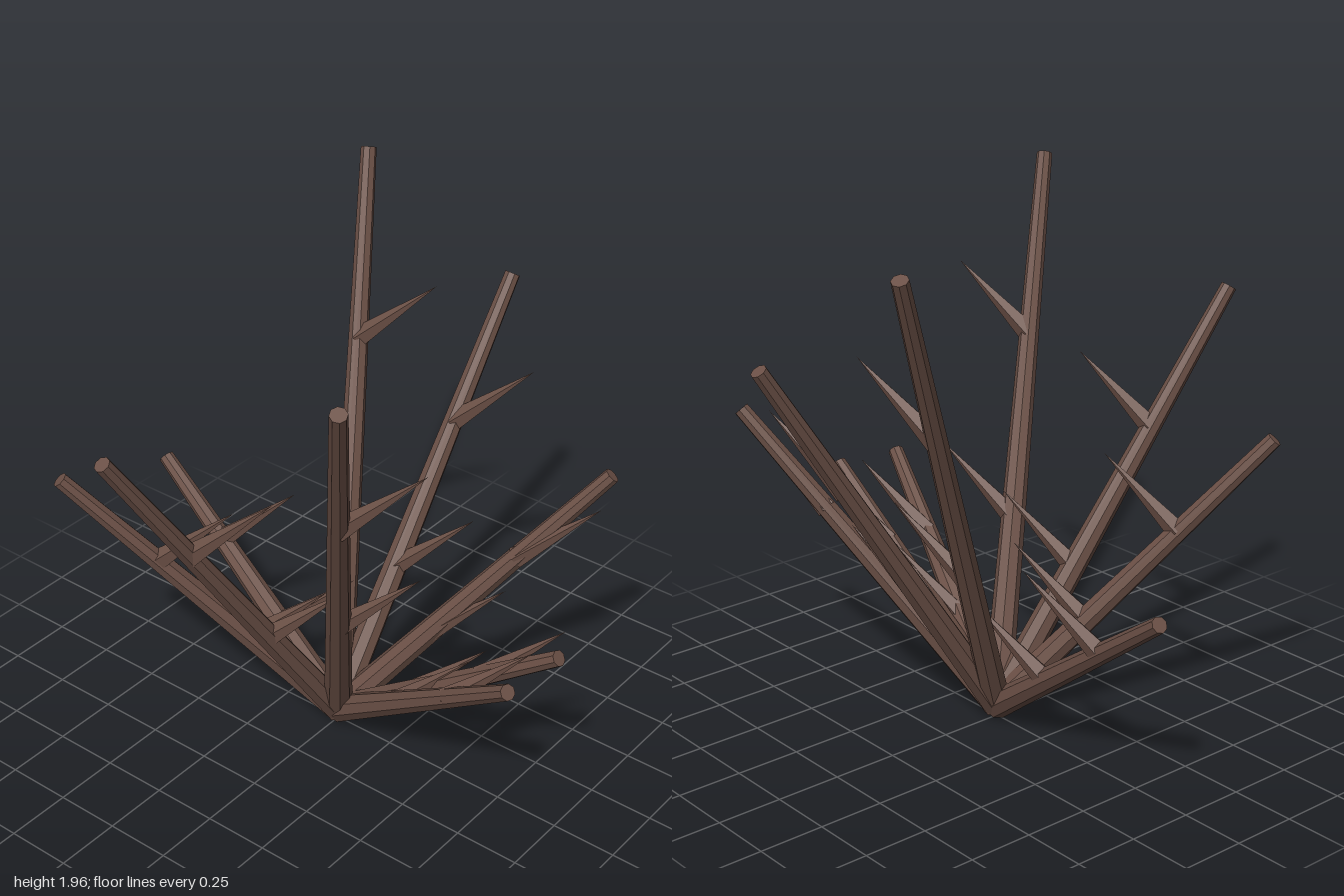
import * as THREE from 'three';

const UP = new THREE.Vector3(0, 1, 0);

// Tapered rod or spike running from one point to another
function spike(name, from, to, r0, r1, sides, material) {
  const dir = to.clone().sub(from);
  const length = dir.length();
  const geometry = new THREE.CylinderGeometry(r1, r0, length, sides);
  geometry.translate(0, length / 2, 0);
  const mesh = new THREE.Mesh(geometry, material);
  mesh.name = name;
  mesh.position.copy(from);
  mesh.quaternion.setFromUnitVectors(UP, dir.normalize());
  return mesh;
}

export function createModel() {
  const model = new THREE.Group();
  model.name = 'thornBush';
  const bark = new THREE.MeshStandardMaterial({ color: 0x6b5046, flatShading: true });
  bark.name = 'brown bark';

  const root = new THREE.Vector3(0, 0.043, 0);
  const thornReach = new THREE.Vector3(0.273, 0.256, -0.118);

  // Branch tips around the root, rising in repeating steps of four
  const heights = [0.745, 1.14, 1.545, 1.945];
  const tips = [
    [0.97, 0], [0.795, -0.565], [0.06, -0.975], [-0.52, -0.835], [-0.975, -0.13],
    [-0.72, 0.68], [-0.205, 0.965], [0.615, 0.77], [0.94, 0.265],
  ];

  tips.forEach(([x, z], i) => {
    const tip = new THREE.Vector3(x, heights[i % 4], z);
    const branch = new THREE.Group();
    branch.name = `branch${i + 1}`;
    branch.add(spike('stem', root, tip, 0.055, 0.03, 8, bark));
    // Two thorns per branch, all leaning the same way
    for (const t of [1 / 3, 2 / 3]) {
      const start = root.clone().lerp(tip, t);
      branch.add(spike('thorn', start, start.clone().add(thornReach), 0.042, 0, 5, bark));
    }
    model.add(branch);
  });

  return model;
}
